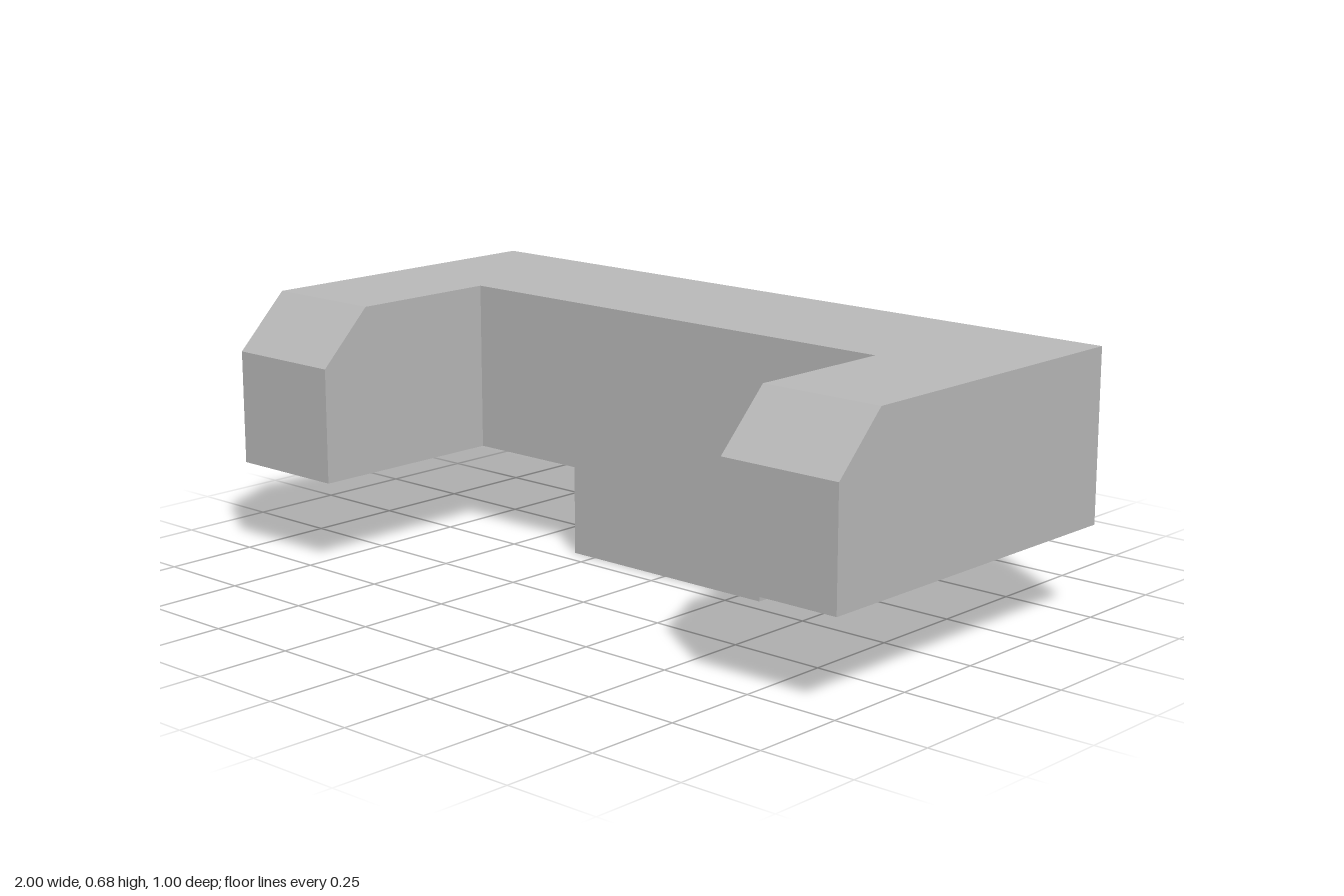
import * as THREE from 'three';

export function createModel() {
  const model = new THREE.Group();
  const grey = new THREE.MeshStandardMaterial({ color: 0xb8b8b8 });
  grey.name = 'plain grey';

  const base = 0.235, top = 0.677, back = -0.5, wall = -0.05, inner = 0.667;

  function add(name, geometry, x = 0, y = 0, z = 0) {
    const mesh = new THREE.Mesh(geometry, grey);
    mesh.name = name;
    mesh.position.set(x, y, z);
    model.add(mesh);
    return mesh;
  }

  // Middle bar between the arms
  add('crossBar', new THREE.BoxGeometry(inner * 2, top - base, wall - back),
    0, (top + base) / 2, (wall + back) / 2);

  // Arms: side profile (z, y) with a chamfered front top edge, extruded across x
  const profile = new THREE.Shape([
    [back, base], [0.5, base], [0.5, 0.535], [0.358, top], [back, top],
  ].map(([z, y]) => new THREE.Vector2(-z, y)));
  const armGeometry = new THREE.ExtrudeGeometry(profile, { depth: 1 - inner, bevelEnabled: false });
  armGeometry.rotateY(Math.PI / 2);
  add('leftArm', armGeometry, inner);
  add('rightArm', armGeometry, -1);

  // Mounting peg under the bar, flush with the inner wall
  const pegBack = -0.17, pegHalf = 0.32;
  add('peg', new THREE.BoxGeometry(pegHalf * 2, base, wall - pegBack),
    0, base / 2, (wall + pegBack) / 2);

  // Half-round grip ribs on the sides and back of the peg
  const ribGeometry = new THREE.CylinderGeometry(1, 1, 0.216, 24);
  for (const side of [-1, 1]) {
    add('sideRib', ribGeometry, side * pegHalf, 0.122, -0.101).scale.set(0.0125, 1, 0.024);
    add('backRib', ribGeometry, side * 0.177, 0.122, pegBack).scale.set(0.024, 1, 0.0105);
  }

  return model;
}
